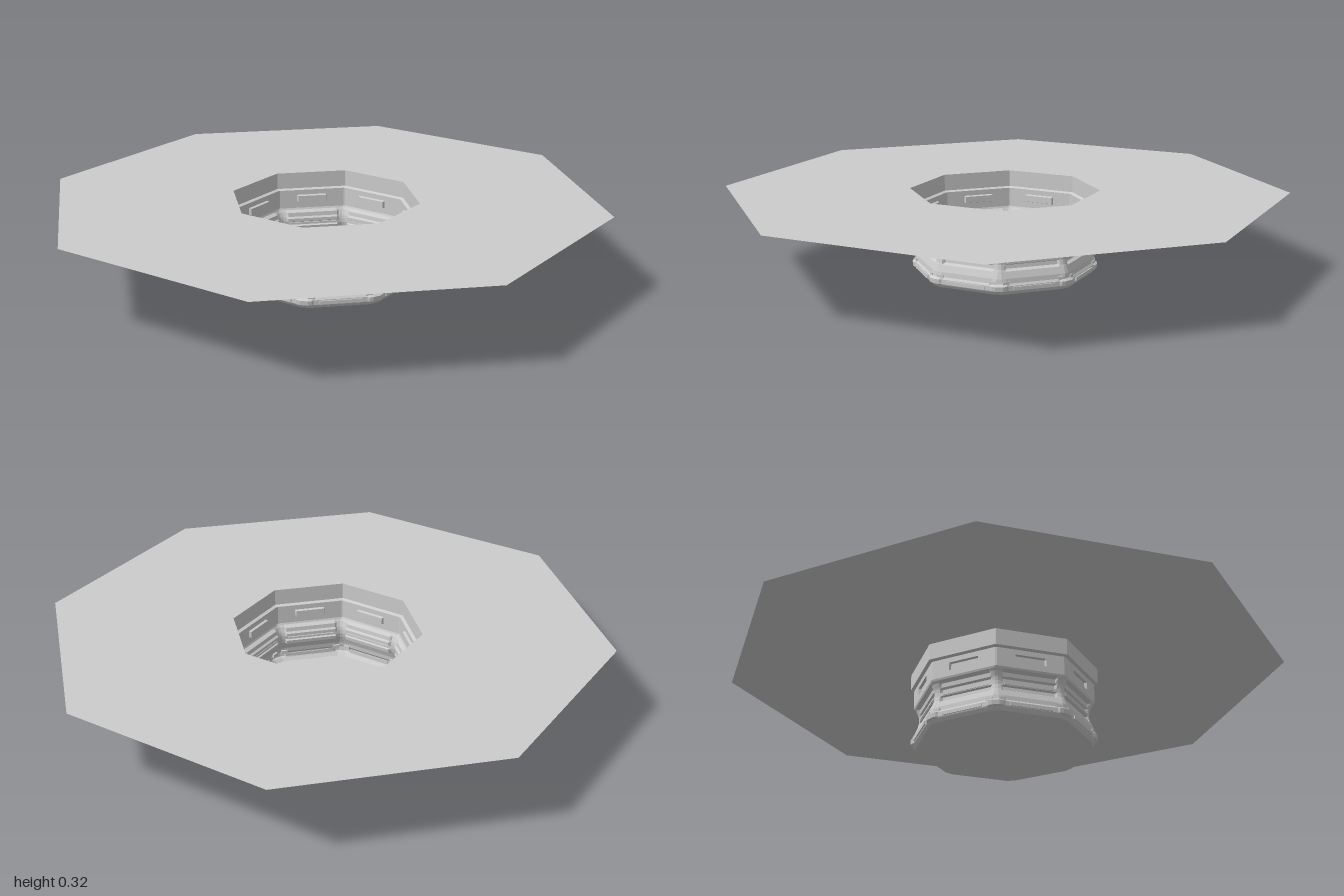
import * as THREE from 'three';

const TAN = Math.tan(Math.PI / 8);
const material = new THREE.MeshStandardMaterial({ color: 0xcccccc, flatShading: true, side: THREE.DoubleSide });

function addMesh(parent, name, geometry) {
  const mesh = new THREE.Mesh(geometry, material);
  mesh.name = name;
  parent.add(mesh);
  return mesh;
}

// Octagon outline with flat sides on the axes; c trims the corners
function octagon(a, c = 0) {
  const points = [];
  for (let k = 0; k < 8; k++) {
    const t = k * Math.PI / 4, e = a * TAN - c;
    for (const s of c ? [-e, e] : [e]) {
      points.push(new THREE.Vector2(a * Math.cos(t) - s * Math.sin(t), a * Math.sin(t) + s * Math.cos(t)));
    }
  }
  return points;
}

// Wall levels: y, distance of the pillars, of the recessed panel, of the slot, corner trim
const LEVELS = [
  [0.000, 0.318, 0.318, 0.318, 0.018],
  [0.012, 0.328, 0.328, 0.328, 0.018],
  [0.016, 0.334, 0.330, 0.330, 0.016],
  [0.034, 0.336, 0.330, 0.330, 0.016],
  [0.042, 0.326, 0.324, 0.324, 0.014],
  [0.060, 0.322, 0.322, 0.322, 0.010],
  [0.085, 0.312, 0.312, 0.312, 0.006],
  [0.092, 0.309, 0.299, 0.299, 0.006],
  [0.106, 0.306, 0.297, 0.297, 0.006],
  [0.110, 0.305, 0.305, 0.305, 0.006],
  [0.122, 0.305, 0.305, 0.305, 0.006],
  [0.126, 0.305, 0.296, 0.296, 0.006],
  [0.138, 0.307, 0.296, 0.296, 0.006],
  [0.144, 0.309, 0.304, 0.304, 0.006],
  [0.160, 0.316, 0.306, 0.306, 0.006],
  [0.168, 0.322, 0.322, 0.322, 0.005],
  [0.175, 0.325, 0.325, 0.325, 0.004],
  [0.199, 0.325, 0.325, 0.325, 0.004],
  [0.202, 0.325, 0.325, 0.315, 0.004],
  [0.227, 0.325, 0.325, 0.315, 0.004],
  [0.230, 0.325, 0.325, 0.325, 0.004],
  [0.250, 0.325, 0.325, 0.325, 0.004],
  [0.255, 0.337, 0.337, 0.337, 0.001],
  [0.320, 0.337, 0.337, 0.337, 0.001],
];

// One closed loop of points per level, joined into a strip
function wallGeometry() {
  const positions = [], index = [];
  const columns = 10, n = columns * 8;
  for (const [y, pillar, panel, slot, trim] of LEVELS) {
    const e = pillar * TAN - trim;
    const half = [[0.057, slot], [0.06, panel], [0.1, panel], [0.108, pillar], [e, pillar]];
    const row = [...half.map(([x, d]) => [-x, d]).reverse(), ...half];
    for (let k = 0; k < 8; k++) {
      const t = k * Math.PI / 4, s = Math.sin(t), c = Math.cos(t);
      for (const [x, d] of row) positions.push(d * s + x * c, y, d * c - x * s);
    }
  }
  for (let i = 0; i < LEVELS.length - 1; i++) {
    for (let j = 0; j < n; j++) {
      const a = i * n + j, b = i * n + (j + 1) % n;
      index.push(a, b, b + n, a, b + n, a + n);
    }
  }
  const geometry = new THREE.BufferGeometry();
  geometry.setAttribute('position', new THREE.Float32BufferAttribute(positions, 3));
  geometry.setIndex(index);
  geometry.computeVertexNormals();
  return geometry;
}

export function createModel() {
  const model = new THREE.Group();
  model.name = 'octagonalPit';

  // Flat ground plate with the pit opening
  const plate = new THREE.Shape(octagon(1));
  plate.holes.push(new THREE.Path(octagon(0.337)));
  const ground = addMesh(model, 'groundPlate', new THREE.ShapeGeometry(plate));
  ground.rotation.x = -Math.PI / 2;
  ground.position.y = 0.32;

  // Pit floor
  const floor = addMesh(model, 'floor', new THREE.ShapeGeometry(new THREE.Shape(octagon(0.318, 0.018))));
  floor.rotation.x = -Math.PI / 2;

  addMesh(model, 'wall', wallGeometry());

  // Trim repeated on each of the eight sides
  for (let k = 0; k < 8; k++) {
    const side = new THREE.Group();
    side.name = 'sideTrim';
    side.rotation.y = k * Math.PI / 4;
    model.add(side);

    const strip = addMesh(side, 'baseStrip', new THREE.BoxGeometry(0.16, 0.014, 0.008));
    strip.position.set(0, 0.024, 0.331);
    const rail = addMesh(side, 'panelRail', new THREE.BoxGeometry(0.19, 0.008, 0.008));
    rail.position.set(0, 0.116, 0.304);
    for (const s of [-1, 1]) {
      const foot = addMesh(side, 'pillarFoot', new THREE.BoxGeometry(0.026, 0.014, 0.012));
      foot.position.set(s * 0.108, 0.043, 0.322);
    }
  }
  return model;
}
